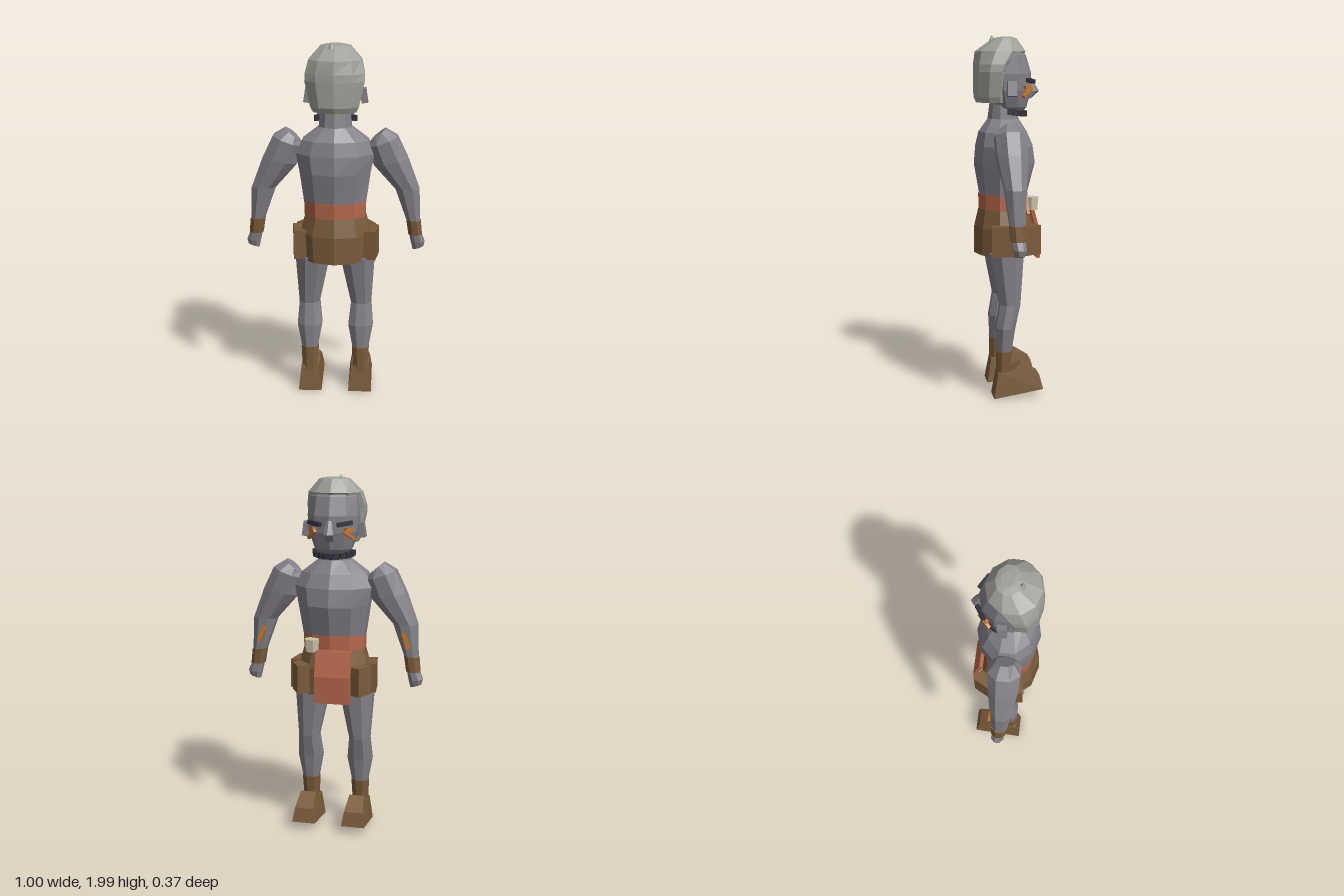
import * as THREE from 'three';

const mat = (name, color) => {
  const m = new THREE.MeshStandardMaterial({ color });
  m.name = name;
  return m;
};

export function createModel() {
  const skin = mat('grey skin', 0x858189);
  const hair = mat('silver hair', 0xa0a09a);
  const leather = mat('brown leather', 0x7a5b3a);
  const cloth = mat('rust cloth', 0xb5674a);
  const paint = mat('orange paint', 0xc97428);
  const dark = mat('dark beads', 0x35303c);
  const cream = mat('cream pouch', 0xc9c2a4);
  const model = new THREE.Group();
  model.name = 'figure';

  // Adds a facetted mesh
  const add = (name, geo, material, pos) => {
    const g = geo.index ? geo.toNonIndexed() : geo;
    g.computeVertexNormals();
    const mesh = new THREE.Mesh(g, material);
    mesh.name = name;
    if (pos) mesh.position.set(...pos);
    model.add(mesh);
    return mesh;
  };

  // Skin over elliptical sections [x, y, z, halfWidth, halfDepth, tilt], listed upwards
  const loft = (sections, n = 8) => {
    const pos = [], idx = [];
    sections.forEach(([x, y, z, a, b, tilt = 0]) => {
      for (let j = 0; j < n; j++) {
        const t = ((j + 0.5) / n) * Math.PI * 2;
        const c = (a * Math.cos(t)) / Math.cos(Math.PI / n);
        pos.push(x + c * Math.cos(tilt), y + c * Math.sin(tilt), z + b * Math.sin(t) * 1.02);
      }
    });
    const last = sections.length - 1;
    for (let i = 0; i < last; i++) {
      for (let j = 0; j < n; j++) {
        const k = (j + 1) % n, A = i * n + j, B = i * n + k;
        idx.push(A, A + n, B, B, A + n, B + n);
      }
    }
    for (let j = 1; j < n - 1; j++) {
      idx.push(0, j, j + 1, last * n, last * n + j + 1, last * n + j);
    }
    const g = new THREE.BufferGeometry();
    g.setAttribute('position', new THREE.Float32BufferAttribute(pos, 3));
    g.setIndex(idx);
    return g;
  };

  // Side outline of [z, y] points given a width along x
  const sideSlab = (points, width) => {
    const shape = new THREE.Shape(points.map(([z, y]) => new THREE.Vector2(-z, y)));
    const g = new THREE.ExtrudeGeometry(shape, { depth: width, bevelEnabled: false });
    return g.translate(0, 0, -width / 2).rotateY(Math.PI / 2);
  };

  // Trunk
  add('torso', loft([
    [0, 1.12, 0.015, 0.17, 0.13], [0, 1.3, 0.007, 0.195, 0.168], [0, 1.4, 0.01, 0.215, 0.157],
    [0, 1.475, 0.018, 0.18, 0.132], [0, 1.545, 0.015, 0.09, 0.085], [0, 1.66, 0.02, 0.08, 0.065],
  ], 10), skin);
  add('sash', loft([[0, 1.04, 0.015, 0.168, 0.135], [0, 1.135, 0.015, 0.17, 0.137]], 10), cloth);
  add('skirt', loft([
    [0, 0.8, 0.012, 0.185, 0.165], [0, 0.95, 0.01, 0.195, 0.165], [0, 1.05, 0.014, 0.168, 0.138],
  ], 10), leather);

  // Head and face
  add('head', loft([
    [0, 1.56, -0.045, 0.05, 0.035], [0, 1.61, -0.02, 0.1, 0.095], [0, 1.7, -0.01, 0.132, 0.128],
    [0, 1.79, -0.01, 0.138, 0.13], [0, 1.89, 0, 0.128, 0.11], [0, 1.94, 0, 0.08, 0.07],
  ], 10), skin);
  add('nose', loft([
    [0, 1.655, -0.125, 0.02, 0.015], [0, 1.695, -0.145, 0.027, 0.04], [0, 1.77, -0.13, 0.013, 0.012],
  ], 6), skin);
  // Hair shell behind the ears, swept over the crown
  add('hair', loft([
    [0, 1.635, 0.075, 0.115, 0.088], [0, 1.665, 0.08, 0.13, 0.097], [0, 1.8, 0.076, 0.16, 0.103],
    [0, 1.84, 0.065, 0.159, 0.113], [0, 1.91, 0.03, 0.142, 0.138], [0, 1.98, 0.005, 0.08, 0.065],
    [0, 1.988, 0, 0.04, 0.035],
  ], 10), hair);
  const bun = add('hairKnot', new THREE.ConeGeometry(0.058, 0.09, 6), hair, [-0.02, 1.955, 0.068]);
  bun.rotation.x = 0.15;

  // Beads hanging round the jaw
  for (let i = 0; i < 11; i++) {
    const t = (i / 10) * Math.PI;
    const bead = add('bead', new THREE.BoxGeometry(0.03, 0.03, 0.025), dark,
      [0.105 * Math.cos(t), 1.585 - 0.013 * Math.sin(t), -0.01 - 0.093 * Math.sin(t)]);
    bead.rotation.y = t - Math.PI / 2;
  }

  // Front flap and belt pouch
  add('frontFlap', sideSlab([
    [-0.125, 1.06], [-0.145, 1.06], [-0.183, 0.92], [-0.183, 0.77], [-0.163, 0.77], [-0.163, 0.92],
  ], 0.2), cloth, [-0.025, 0, 0]);
  const pouch = add('beltPouch', new THREE.CylinderGeometry(0.043, 0.037, 0.07, 6), cream, [0.1, 1.085, -0.128]);
  pouch.rotation.y = 0.4;

  for (const s of [1, -1]) {
    const side = s > 0 ? 'left' : 'right';
    const flip = (rings) => rings.map(([x, y, z, a, b, t = 0]) => [s * x, y, z, a, b, s * t]);

    // Face details
    add(side + 'Ear', new THREE.BoxGeometry(0.035, 0.08, 0.05), skin, [s * 0.153, 1.71, -0.012]).rotation.z = s * 0.15;
    const brow = add(side + 'Brow', new THREE.BoxGeometry(0.085, 0.022, 0.022), dark, [s * 0.083, 1.752, -0.125]);
    brow.rotation.set(0, -s * 0.55, s * 0.12);
    for (const [y, len, tilt] of [[1.69, 0.085, 0.55], [1.72, 0.05, 0.1]]) {
      const mark = add(side + 'FacePaint', new THREE.BoxGeometry(len, 0.016, 0.016), paint, [s * 0.102, y, -0.105]);
      mark.rotation.set(0, -s * 0.85, -s * tilt);
    }

    // Arm
    add(side + 'Arm', loft(flip([
      [0.435, 1.01, 0.005, 0.037, 0.043, -0.1], [0.398, 1.2, 0.01, 0.066, 0.06, 0],
      [0.305, 1.355, 0.013, 0.095, 0.085, 0.2], [0.26, 1.465, 0.013, 0.085, 0.09, 0.35],
      [0.235, 1.503, 0.012, 0.05, 0.05, 0.7],
    ])), skin);
    add(side + 'WristBand', loft(flip([
      [0.446, 0.935, 0, 0.038, 0.042], [0.435, 1.02, 0.004, 0.041, 0.046, -0.1],
    ])), leather);
    add(side + 'Hand', loft(flip([
      [0.463, 0.855, -0.005, 0.031, 0.025, 0.3], [0.462, 0.888, -0.005, 0.038, 0.036, 0.15],
      [0.446, 0.94, 0, 0.034, 0.038],
    ])), skin);
    const armMark = add(side + 'ArmPaint', new THREE.BoxGeometry(0.022, 0.09, 0.016), paint, [s * 0.408, 1.115, -0.05]);
    armMark.rotation.set(0.1, 0, s * 0.35);

    // Leg and boot
    add(side + 'Leg', loft(flip([
      [0.145, 0.26, 0.032, 0.045, 0.043], [0.145, 0.4, 0.025, 0.07, 0.056], [0.147, 0.53, 0, 0.058, 0.06],
      [0.125, 0.82, 0.018, 0.097, 0.1],
    ])), skin);
    add(side + 'BootShaft', loft(flip([
      [0.145, 0.08, 0.042, 0.04, 0.035], [0.145, 0.265, 0.032, 0.049, 0.046],
    ])), leather);
    const foot = sideSlab([
      [0.095, 0.005], [0.07, 0.15], [0.005, 0.15], [-0.06, 0.195], [-0.16, 0.13], [-0.18, 0.05],
    ], 0.132);
    const p = foot.attributes.position;
    for (let i = 0; i < p.count; i++) p.setX(i, p.getX(i) * (1 - Math.max(0, p.getY(i) - 0.05) * 2.4));
    add(side + 'Foot', foot, leather, [s * 0.143, 0, 0]);

    // Skirt panels on the hip and the front corner
    add(side + 'HipPanel', new THREE.BoxGeometry(0.07, 0.165, 0.15), leather, [s * 0.2, 0.892, 0.03]).rotation.y = -s * 0.12;
    add(side + 'CornerPouch', new THREE.BoxGeometry(0.07, 0.16, 0.11), leather, [s * 0.168, 0.892, -0.105]).rotation.y = s * 0.5;
  }
  return model;
}
